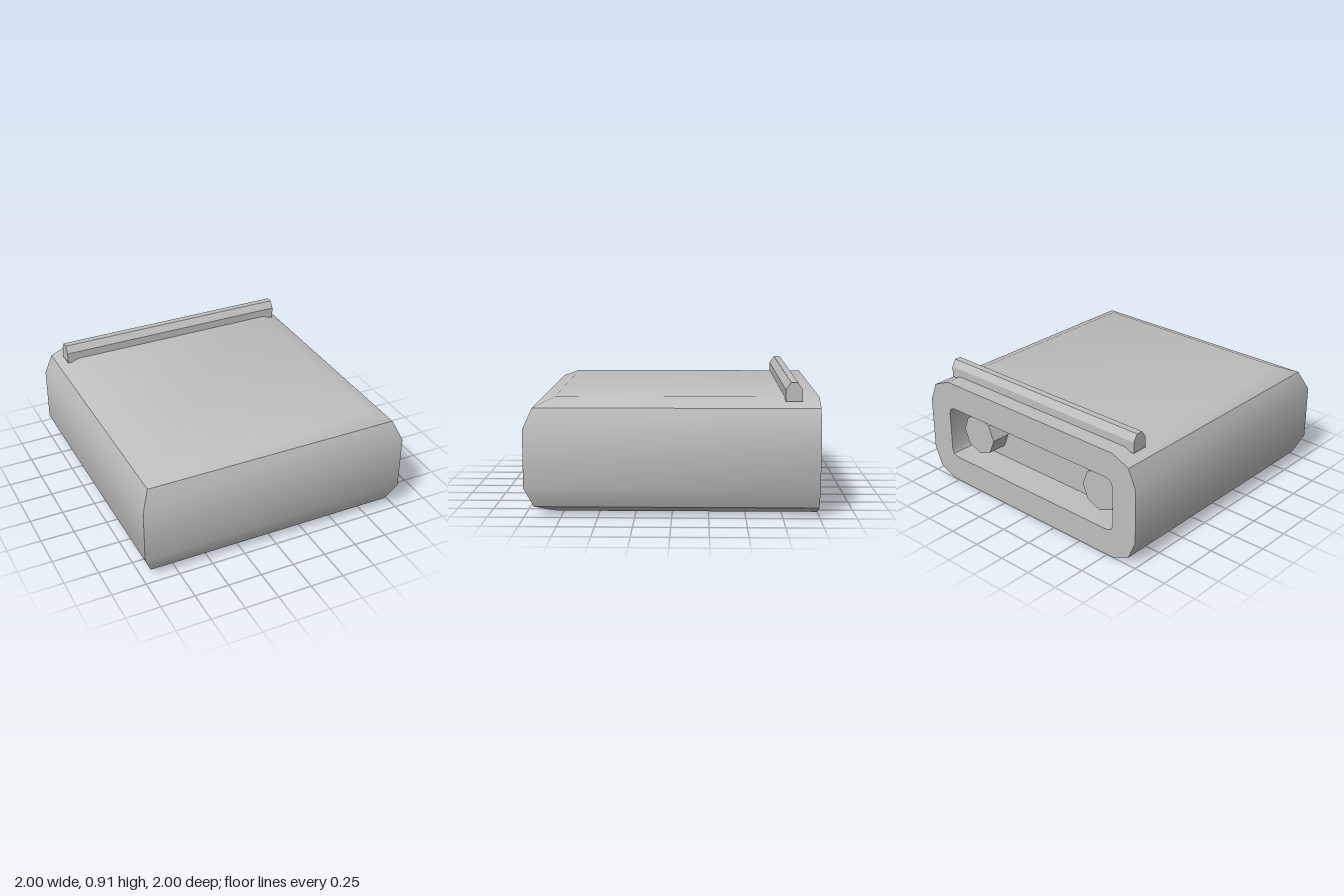
import * as THREE from 'three';
import { toCreasedNormals } from 'three/addons/utils/BufferGeometryUtils.js';

const CREASE = THREE.MathUtils.degToRad(38);
const BACK = -1, FLOOR = -0.76;

// Half width of the shell at each height
const levels = [[0, 0.8], [0.06, 0.94], [0.2, 1], [0.6, 1], [0.74, 0.94], [0.8, 0.8]];

// Turns a list of four-cornered faces into a geometry with creased normals
function fromQuads(quads) {
  const pos = [];
  for (const [a, b, c, d] of quads) pos.push(...a, ...b, ...c, ...a, ...c, ...d);
  const geo = new THREE.BufferGeometry();
  geo.setAttribute('position', new THREE.Float32BufferAttribute(pos, 3));
  return toCreasedNormals(geo, CREASE);
}

const toPoints = (list) => list.map(([x, y]) => new THREE.Vector2(x, y));

export function createModel() {
  const group = new THREE.Group();
  const grey = new THREE.MeshStandardMaterial({ color: 0xbfbfbf });
  grey.name = 'plain grey';

  const add = (name, geo) => {
    const mesh = new THREE.Mesh(geo, grey);
    mesh.name = name;
    group.add(mesh);
    return mesh;
  };

  // Shell: bevelled left, right and front, with an open back
  const rings = levels.map(([y, w]) => [[-w, y, BACK], [-w, y, w], [w, y, w], [w, y, BACK]]);
  const quads = [];
  for (let i = 0; i < rings.length - 1; i++) {
    for (let k = 0; k < 3; k++) {
      quads.push([rings[i][k], rings[i][k + 1], rings[i + 1][k + 1], rings[i + 1][k]]);
    }
  }
  const [a, b, c, d] = rings[0];
  const [e, f, g, h] = rings[rings.length - 1];
  quads.push([a, d, c, b], [f, g, h, e]);
  add('shell', fromQuads(quads));

  // Back plate with a slot cut through it
  const slot = [
    [-0.75, 0.2], [0.75, 0.2], [0.785, 0.215], [0.8, 0.25], [0.8, 0.55], [0.785, 0.585],
    [0.75, 0.6], [-0.75, 0.6], [-0.785, 0.585], [-0.8, 0.55], [-0.8, 0.25], [-0.785, 0.215],
  ];
  const outline = [
    ...levels.map(([y, w]) => [w, y]),
    ...[...levels].reverse().map(([y, w]) => [-w, y]),
  ];
  const plate = new THREE.Shape(toPoints(outline));
  plate.holes.push(new THREE.Path(toPoints(slot)));
  add('backPlate', new THREE.ShapeGeometry(plate).rotateY(Math.PI).translate(0, 0, BACK));

  // Slot walls and floor
  const walls = slot.map(([x, y], i) => {
    const [u, v] = slot[(i + 1) % slot.length];
    return [[x, y, BACK], [x, y, FLOOR], [u, v, FLOOR], [u, v, BACK]];
  });
  add('slotWalls', fromQuads(walls));
  add('slotFloor', new THREE.ShapeGeometry(new THREE.Shape(toPoints(slot)))
    .rotateY(Math.PI).translate(0, 0, FLOOR));

  // Two eight-sided studs inside the slot
  for (const [name, x] of [['leftStud', 0.6], ['rightStud', -0.6]]) {
    const geo = new THREE.CylinderGeometry(0.155, 0.155, 0.15, 8).rotateX(-Math.PI / 2);
    add(name, toCreasedNormals(geo, CREASE)).position.set(x, 0.4, FLOOR - 0.07);
  }

  // Rail across the top near the back; profile is drawn in z and y
  const profile = [
    [-0.88, 0.778], [-0.765, 0.778], [-0.765, 0.858],
    [-0.8, 0.908], [-0.848, 0.908], [-0.88, 0.858],
  ];
  const rail = new THREE.ExtrudeGeometry(
    new THREE.Shape(toPoints(profile.map(([z, y]) => [-z, y]))),
    { depth: 1.76, bevelEnabled: false },
  );
  rail.translate(0, 0, -0.88).rotateY(Math.PI / 2);
  add('topRail', rail);

  return group;
}
